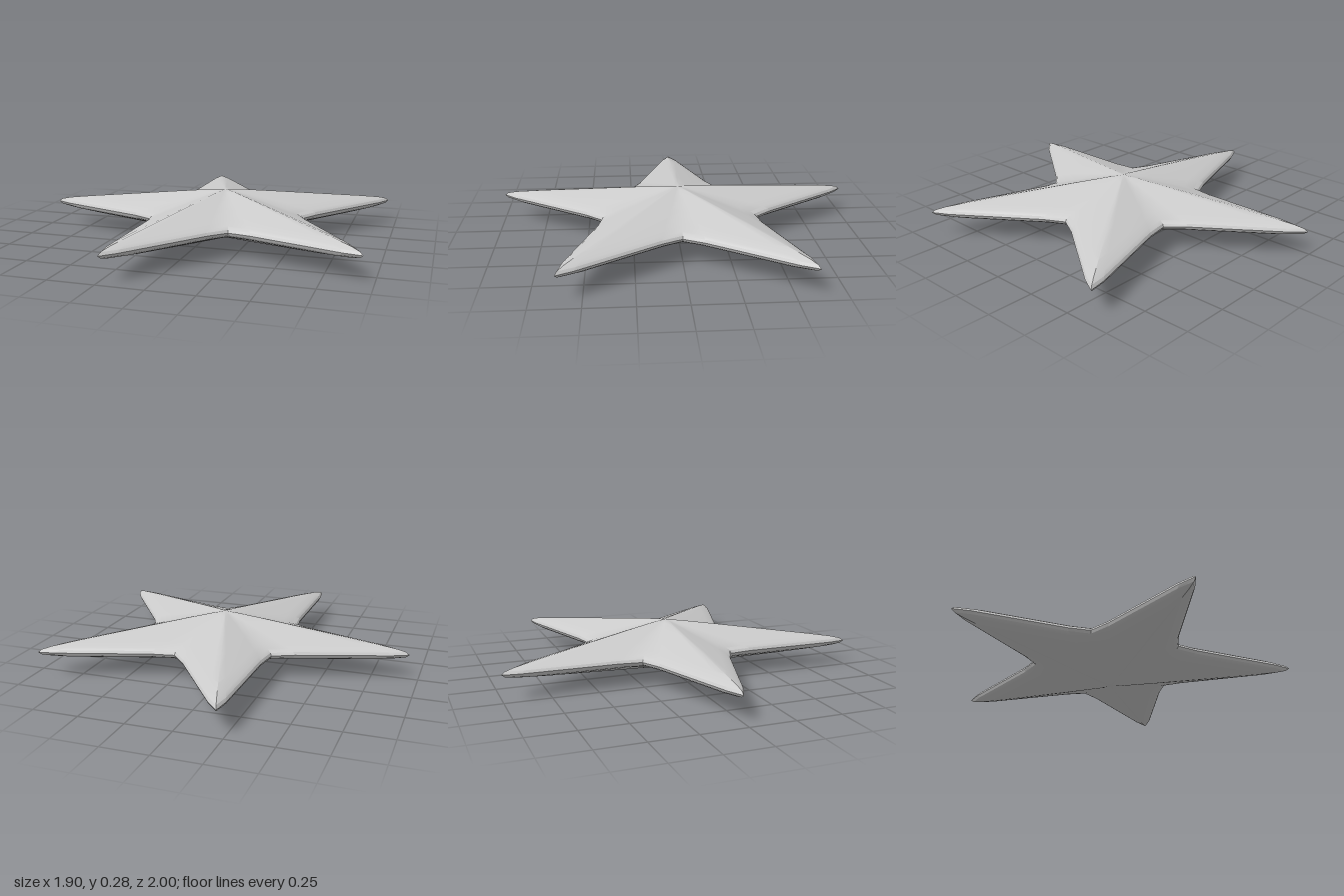
import * as THREE from 'three';
import { toCreasedNormals } from 'three/addons/utils/BufferGeometryUtils.js';

const ARMS = 5, HALF = 0.14, CENTER_X = 0.1, TWIST = 0.007;

// one arm's rim: [distance along the arm, offset to the side], from notch to notch
const ARM_RIM = [[0.356, -0.259], [0.47, -0.205], [0.96, -0.043], [1.05, 0], [0.96, 0.043], [0.47, 0.205]];

// upper half of the profile: [scale of the rim, height above the middle]
const PROFILE = [[0, HALF], [0.1, 0.131], [0.3, 0.107], [0.55, 0.076], [0.8, 0.045], [0.93, 0.027], [0.98, 0.015], [1, 0]];

function starGeometry() {
  // full star rim in the ground plane
  const rim = [];
  for (let k = 0; k < ARMS; k++) {
    const a = Math.PI + TWIST + (k * 2 * Math.PI) / ARMS;
    for (const [d, s] of ARM_RIM) {
      rim.push([d * Math.cos(a) - s * Math.sin(a), d * Math.sin(a) + s * Math.cos(a)]);
    }
  }

  // concentric rings from the top peak, over the rim, to the bottom peak
  const lower = PROFILE.slice(0, -1).reverse().map(([t, h]) => [t, -h]);
  const rings = [...PROFILE, ...lower];
  const positions = [], index = [], n = rim.length;
  for (const [t, h] of rings) {
    for (const [x, z] of rim) positions.push(CENTER_X + x * t, HALF + h, z * t);
  }
  for (let r = 0; r < rings.length - 1; r++) {
    for (let i = 0; i < n; i++) {
      const j = (i + 1) % n;
      const a = r * n + i, b = r * n + j, c = b + n, d = a + n;
      if (r < rings.length - 2) index.push(a, c, d);
      if (r > 0) index.push(a, b, c);
    }
  }
  const geometry = new THREE.BufferGeometry();
  geometry.setAttribute('position', new THREE.Float32BufferAttribute(positions, 3));
  geometry.setIndex(index);
  return toCreasedNormals(geometry, 0.5);
}

export function createModel() {
  const group = new THREE.Group();
  group.name = 'starfish';
  const body = new THREE.Mesh(starGeometry(), new THREE.MeshStandardMaterial({ color: 0xcccccc }));
  body.name = 'starBody';
  group.add(body);
  return group;
}
